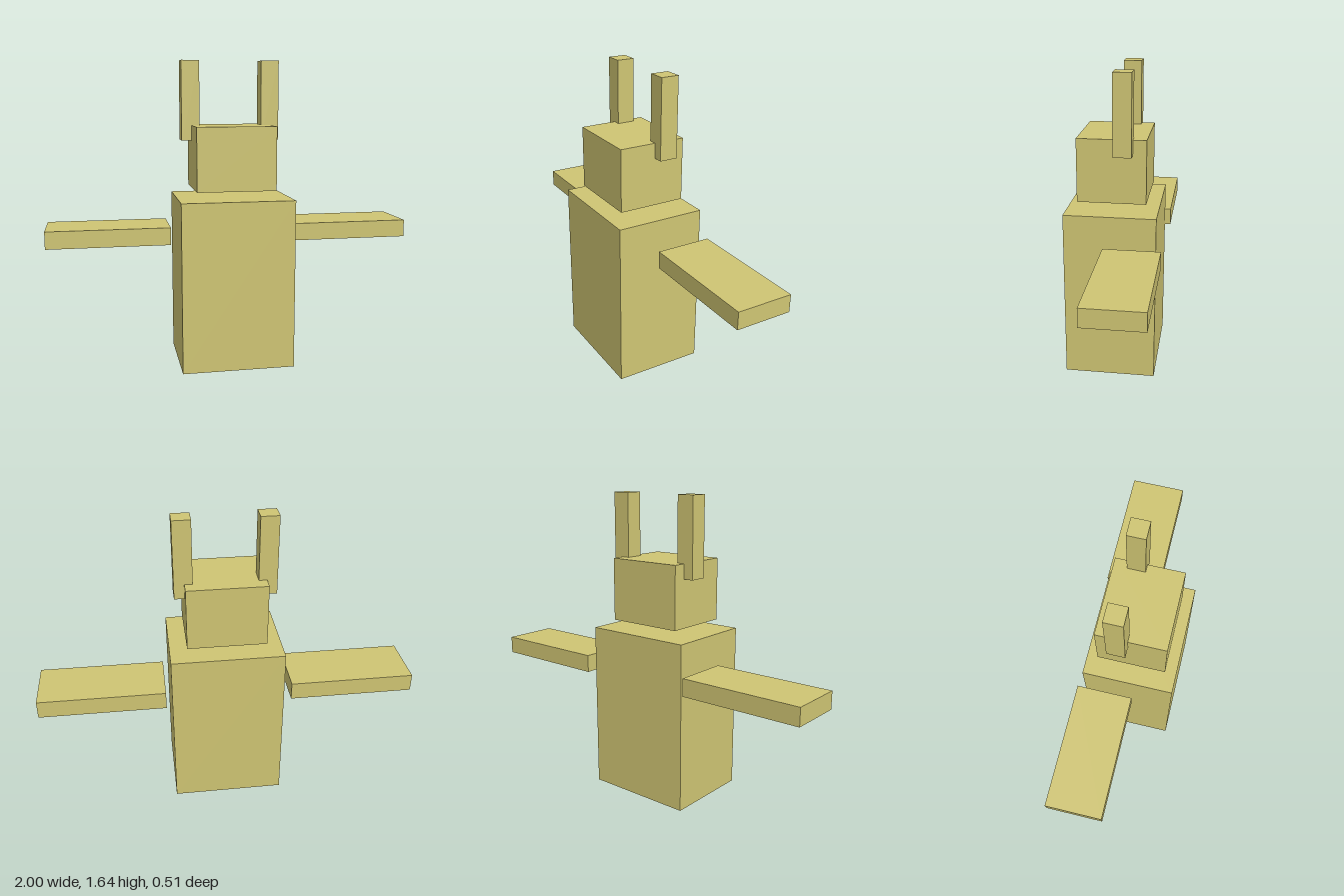
import * as THREE from 'three';

export function createModel() {
  const group = new THREE.Group();
  const material = new THREE.MeshStandardMaterial({ color: 0xcfc573, flatShading: true });

  // Box given by its [min, max] extents on each axis
  function box(name, [x0, x1], [y0, y1], [z0, z1]) {
    const mesh = new THREE.Mesh(new THREE.BoxGeometry(x1 - x0, y1 - y0, z1 - z0), material);
    mesh.position.set((x0 + x1) / 2, (y0 + y1) / 2, (z0 + z1) / 2);
    mesh.name = name;
    group.add(mesh);
  }

  box('body', [-0.304, 0.3], [0, 0.91], [-0.227, 0.257]);
  box('head', [-0.214, 0.209], [0.956, 1.294], [-0.165, 0.198]);

  // Flat arms float beside the body; ears cut into the head's upper sides
  box('leftArm', [0.333, 1], [0.654, 0.749], [-0.257, 0.046]);
  box('rightArm', [-1, -0.337], [0.654, 0.749], [-0.257, 0.046]);
  box('leftEar', [0.166, 0.263], [1.214, 1.638], [-0.094, 0.002]);
  box('rightEar', [-0.268, -0.171], [1.214, 1.638], [-0.094, 0.002]);

  return group;
}
